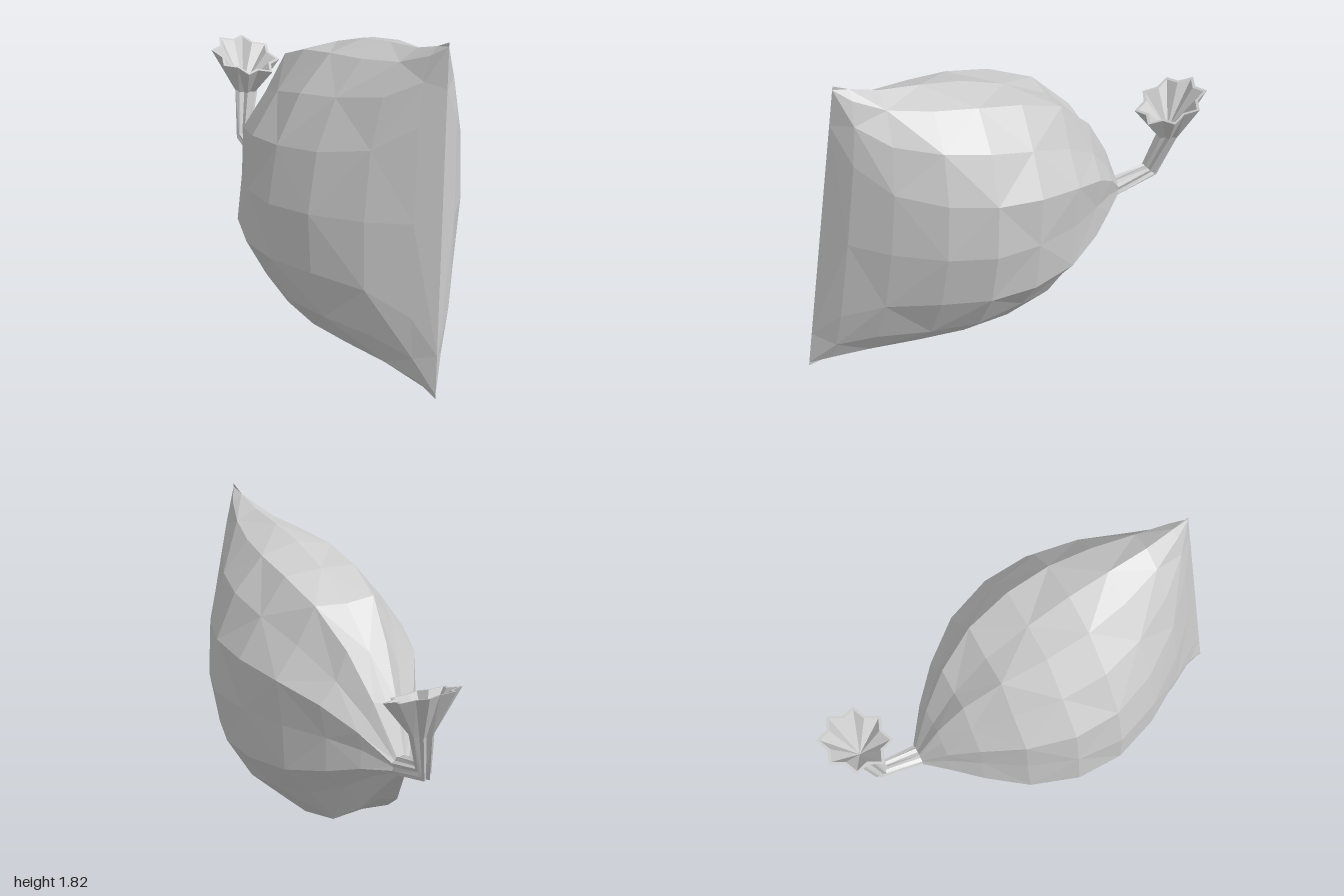
import * as THREE from 'three';

const SIDES = 16;                                   // eight folds: ridge, valley, ridge...
const LENGTH = 1.78;
const D = new THREE.Vector3(0.856, 0, 0.517);       // sack axis, neck to seam
const N = new THREE.Vector3(-0.517, 0, 0.856);      // sideways, towards the front
const UP = new THREE.Vector3(0, 1, 0);
const NECK = new THREE.Vector3(-0.575, 0, -0.31);

// Skin a list of rings (each an array of SIDES points)
function loft(rings) {
  const pos = [], index = [];
  rings.forEach(r => r.forEach(p => pos.push(p.x, p.y, p.z)));
  for (let j = 0; j < rings.length - 1; j++) {
    for (let i = 0; i < SIDES; i++) {
      const a = j * SIDES + i, b = j * SIDES + (i + 1) % SIDES;
      const c = b + SIDES, d = a + SIDES;
      if ((i + j) % 2) index.push(a, b, c, a, c, d);
      else index.push(a, b, d, b, c, d);
    }
  }
  const g = new THREE.BufferGeometry();
  g.setAttribute('position', new THREE.Float32BufferAttribute(pos, 3));
  g.setIndex(index);
  g.computeVertexNormals();
  return g;
}

const angle = i => i / SIDES * Math.PI * 2;
const isRidge = i => i % 2 === 1;

// Sack section: distance along axis, lowest y, highest y, front and back half widths
function sackRing([t, lo, hi, front, back]) {
  const fold = 0.13 * Math.max(0, 1 - t / 1.1);
  const lean = (t / LENGTH) ** 2;
  const power = 1 - 0.7 * lean ** 5;                // points crowd into the seam corners
  return Array.from({ length: SIDES }, (_, i) => {
    const a = angle(i), c = Math.cos(a), sin = Math.sin(a);
    const s = Math.sign(sin) * Math.abs(sin) ** power;
    const k = isRidge(i) ? 1 + fold * 0.4 : 1 - fold;
    const rise = s * k * (hi - lo) / 2;
    const tilt = rise / 0.9;                        // the top leans back
    return NECK.clone()
      .addScaledVector(D, t - 0.095 * tilt * lean)
      .addScaledVector(N, c * k * (c > 0 ? front : back) - 0.08 * tilt - 0.04 * lean)
      .setY((lo + hi) / 2 + rise);
  });
}

// Star-shaped ring around a centre, spanned by N and v
function starRing(x, y, z, v, ridge, valley, slopeX = 0, slopeZ = 0) {
  return Array.from({ length: SIDES }, (_, i) => {
    const a = angle(i), r = isRidge(i) ? ridge : valley;
    const p = new THREE.Vector3(x, y, z)
      .addScaledVector(N, r * Math.cos(a))
      .addScaledVector(v, r * Math.sin(a));
    p.y -= slopeX * (p.x - x) + slopeZ * (p.z - z);
    return p;
  });
}

export function createModel() {
  const group = new THREE.Group();
  const material = new THREE.MeshStandardMaterial({
    color: 0xcccccc, flatShading: true, side: THREE.DoubleSide,
  });
  const add = (name, rings) => {
    const mesh = new THREE.Mesh(loft(rings), material);
    mesh.name = name;
    group.add(mesh);
  };

  // Stuffed body, from the flat seam to the gathered neck
  add('sackBody', [
    [LENGTH, 0, 1.82, 0, 0],
    [1.68, 0.02, 1.78, 0.1, 0.15],
    [1.5, 0.04, 1.73, 0.27, 0.32],
    [1.25, 0.05, 1.7, 0.44, 0.49],
    [1.0, 0.055, 1.67, 0.53, 0.58],
    [0.74, 0.085, 1.61, 0.52, 0.57],
    [0.48, 0.16, 1.5, 0.42, 0.48],
    [0.27, 0.32, 1.29, 0.27, 0.33],
    [0.12, 0.5, 1.03, 0.15, 0.19],
    [0, 0.635, 0.745, 0.055, 0.055],
  ].map(sackRing));

  // Gathered neck bending upward
  const bend = UP.clone().add(D);
  add('neck', [
    starRing(-0.575, 0.69, -0.31, UP, 0.058, 0.046),
    starRing(-0.765, 0.748, -0.43, bend, 0.042, 0.03),
    starRing(-0.795, 1.0, -0.52, D, 0.066, 0.046),
  ]);

  // Flared mouth: outside, thin rim, then the inside running down to a point
  add('flaredMouth', [
    starRing(-0.795, 1.0, -0.52, D, 0.066, 0.046),
    starRing(-0.8, 1.215, -0.525, D, 0.2, 0.155, 0.33, 0.13),
    starRing(-0.8, 1.215, -0.525, D, 0.18, 0.138, 0.33, 0.13),
    starRing(-0.81, 1.02, -0.51, D, 0, 0),
  ]);

  return group;
}
